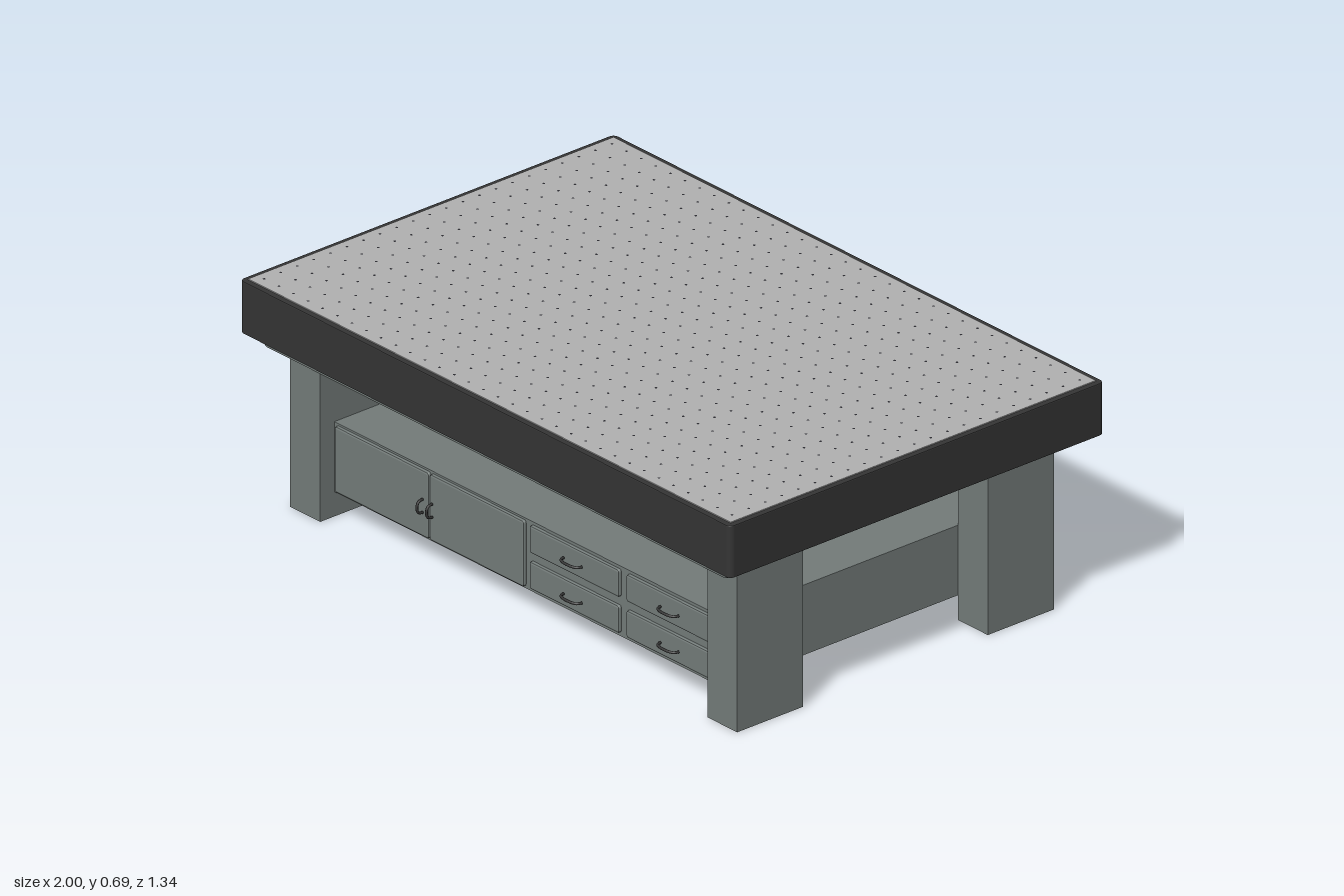
import * as THREE from 'three';
import { mergeGeometries } from 'three/addons/utils/BufferGeometryUtils.js';

const mat = (color) => new THREE.MeshStandardMaterial({ color });
const steel = mat(0x747c7a);
const black = mat(0x353535);
const plateGrey = mat(0xb2b2b2);
const holeDark = mat(0x2a2a30);

function add(parent, name, geometry, material, x = 0, y = 0, z = 0) {
  const mesh = new THREE.Mesh(geometry, material);
  mesh.name = name;
  mesh.position.set(x, y, z);
  parent.add(mesh);
  return mesh;
}

// Rectangle with rounded corners, centred on the origin
function roundedRect(w, h, r) {
  const s = new THREE.Shape();
  const x = w / 2 - r, y = h / 2 - r;
  s.absarc(x, y, r, 0, Math.PI / 2);
  s.absarc(-x, y, r, Math.PI / 2, Math.PI);
  s.absarc(-x, -y, r, Math.PI, Math.PI * 1.5);
  s.absarc(x, -y, r, Math.PI * 1.5, Math.PI * 2);
  s.closePath();
  return s;
}

// Horizontal rounded slab standing on y = 0, with bevelled edges
function slab(w, d, h, r, bevel) {
  const g = new THREE.ExtrudeGeometry(roundedRect(w - 2 * bevel, d - 2 * bevel, r), {
    depth: h - 2 * bevel, bevelEnabled: true, bevelSize: bevel,
    bevelThickness: bevel, bevelSegments: 2, curveSegments: 5,
  });
  return g.translate(0, 0, bevel).rotateX(-Math.PI / 2);
}

// Bevelled door or drawer front, its back on z = 0
function frontPanel(w, h) {
  const b = 0.006;
  return new THREE.ExtrudeGeometry(roundedRect(w - 2 * b, h - 2 * b, 0.002), {
    depth: 0.004, bevelEnabled: true, bevelSize: b, bevelThickness: b,
    bevelSegments: 2, curveSegments: 2,
  });
}

// Bowed bar handle along x
function bowHandle(length) {
  const l = length / 2;
  const path = new THREE.CatmullRomCurve3([
    [-l, 0], [-l * 0.85, 0.014], [-l * 0.4, 0.02], [l * 0.4, 0.02], [l * 0.85, 0.014], [l, 0],
  ].map(([x, z]) => new THREE.Vector3(x, 0, z)));
  return new THREE.TubeGeometry(path, 20, 0.004, 8);
}

// Doors and drawers for one long face; side is +1 for front, -1 for back
function cabinetFace(side) {
  const face = new THREE.Group();
  face.name = side > 0 ? 'cabinetFront' : 'cabinetBack';
  face.position.z = side * 0.515;
  if (side < 0) face.rotation.y = Math.PI;
  const zTop = 0.014;

  // Pair of doors with upright handles beside the seam
  for (const [x, handleX] of [[-0.587, -0.413], [-0.199, -0.374]]) {
    add(face, 'door', frontPanel(0.384, 0.198), steel, side * x, 0.179, 0);
    add(face, 'doorHandle', bowHandle(0.04), black, side * handleX, 0.176, zTop)
      .rotation.z = Math.PI / 2;
  }
  // Two by two drawers
  for (const x of [0.198, 0.593]) {
    for (const y of [0.126, 0.234]) {
      add(face, 'drawer', frontPanel(0.366, 0.082), steel, side * x, y, 0);
      add(face, 'drawerHandle', bowHandle(0.076), black, side * x, y - 0.001, zTop);
    }
  }
  return face;
}

export function createModel() {
  const model = new THREE.Group();
  model.name = 'workTable';

  // Thick table top with its inset working plate
  add(model, 'tableTop', slab(2, 1.34, 0.157, 0.014, 0.003), black, 0, 0.525, 0);
  add(model, 'workPlate', new THREE.BoxGeometry(1.966, 0.006, 1.306), plateGrey, 0, 0.682, 0);

  // Regular grid of small threaded holes
  const dots = [];
  for (let i = 0; i < 33; i++) {
    for (let j = 0; j < 22; j++) {
      dots.push(new THREE.CircleGeometry(0.004, 8).rotateX(-Math.PI / 2)
        .translate((i - 16) * 0.0596, 0, (j - 10.5) * 0.0592));
    }
  }
  add(model, 'plateHoles', mergeGeometries(dots), holeDark, 0, 0.6858, 0);

  // Support plate beneath the top
  add(model, 'supportPlate', slab(1.89, 1.27, 0.034, 0.012, 0.004), steel, 0, 0.493, 0);

  // Four square-cut legs
  for (const x of [-1, 1]) {
    for (const z of [-1, 1]) {
      add(model, 'leg', new THREE.BoxGeometry(0.122, 0.494, 0.236), steel,
        x * 0.85, 0.247, z * 0.448);
    }
  }

  // Low cabinet between the legs, opening on both long sides
  add(model, 'cabinet', new THREE.BoxGeometry(1.578, 0.21, 1.03), steel, 0, 0.179, 0);
  model.add(cabinetFace(1), cabinetFace(-1));

  return model;
}
